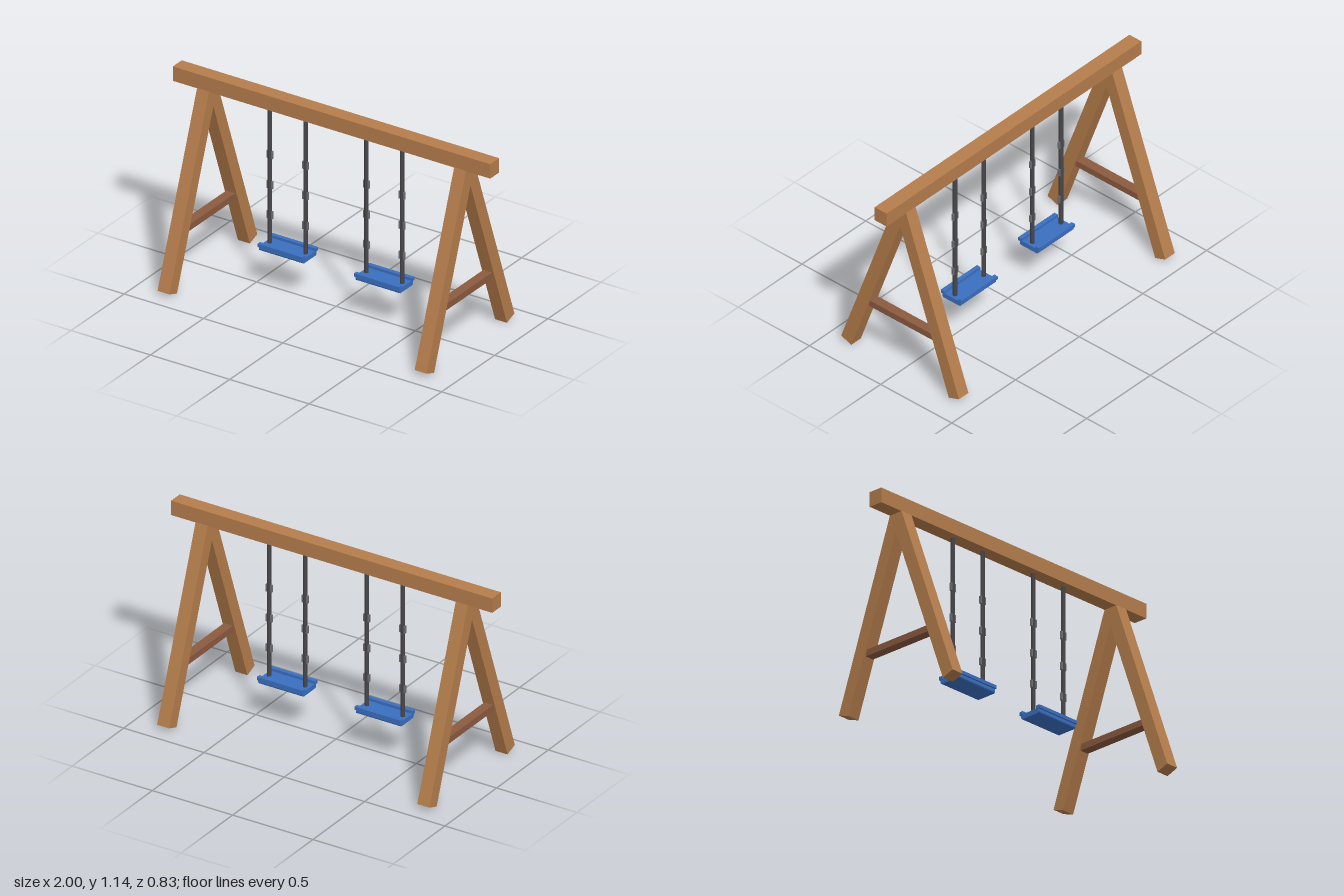
import * as THREE from 'three';

const paint = (name, color) => {
  const m = new THREE.MeshStandardMaterial({ color });
  m.name = name;
  return m;
};

export function createModel() {
  const wood = paint('wood', 0xb57d4c);
  const darkWood = paint('darkWood', 0x8b5a3f);
  const steel = paint('steel', 0x48484c);
  const linkSteel = paint('linkSteel', 0x707074);
  const blue = paint('blue', 0x3a6fc0);

  const model = new THREE.Group();
  model.name = 'swingSet';

  const add = (parent, name, geometry, material, x, y, z) => {
    const mesh = new THREE.Mesh(geometry, material);
    mesh.name = name;
    mesh.position.set(x, y, z);
    parent.add(mesh);
    return mesh;
  };
  const box = (w, h, d) => new THREE.BoxGeometry(w, h, d);

  // Top beam
  add(model, 'topBeam', box(2, 0.085, 0.084), wood, 0, 1.1025, 0);

  // A-frames: two leaning legs and a cross brace at each end
  const foot = { y: 0.013, z: 0.378 };
  const apexY = 1.068;
  const legLength = Math.hypot(foot.z, apexY - foot.y);
  const lean = Math.atan2(foot.z, apexY - foot.y);
  const legGeometry = box(0.075, legLength, 0.075);
  const braceGeometry = box(0.055, 0.037, 0.454);
  for (const side of [-1, 1]) {
    const frame = new THREE.Group();
    frame.name = side > 0 ? 'leftFrame' : 'rightFrame';
    frame.position.x = side * 0.81;
    model.add(frame);
    for (const dir of [-1, 1]) {
      const leg = add(frame, dir > 0 ? 'frontLeg' : 'backLeg', legGeometry, wood,
        0, (foot.y + apexY) / 2, dir * foot.z / 2);
      leg.rotation.x = -dir * lean;
    }
    add(frame, 'crossBrace', braceGeometry, darkWood, 0, 0.329, 0);
  }

  // Seat board: a flat top with rounded lower edges, extruded along x
  const w = 0.064, h = 0.028, r = 0.012, length = 0.278;
  const profile = new THREE.Shape();
  profile.moveTo(-w, h);
  profile.lineTo(-w, r);
  profile.quadraticCurveTo(-w, 0, -w + r, 0);
  profile.lineTo(w - r, 0);
  profile.quadraticCurveTo(w, 0, w, r);
  profile.lineTo(w, h);
  profile.closePath();
  const boardGeometry = new THREE.ExtrudeGeometry(profile, {
    depth: length, bevelEnabled: false, curveSegments: 5,
  });
  boardGeometry.translate(0, 0, -length / 2);
  boardGeometry.rotateY(Math.PI / 2);

  const railGeometry = box(0.284, 0.019, 0.024);
  const chainGeometry = new THREE.CylinderGeometry(0.012, 0.012, 0.825, 8);
  const linkGeometry = box(0.037, 0.043, 0.013);

  // Two swings, each with a seat, edge rails and a pair of chains
  for (const side of [-1, 1]) {
    const swing = new THREE.Group();
    swing.name = side > 0 ? 'leftSwing' : 'rightSwing';
    swing.position.x = side * 0.304;
    model.add(swing);
    add(swing, 'seatBoard', boardGeometry, blue, 0, 0.229, 0);
    for (const dir of [-1, 1]) {
      add(swing, dir > 0 ? 'frontRail' : 'backRail', railGeometry, blue, 0, 0.2635, dir * 0.061);
      add(swing, 'chain', chainGeometry, steel, dir * 0.112, 0.6625, 0);
      for (const y of [0.422, 0.599, 0.777]) {
        add(swing, 'chainLink', linkGeometry, linkSteel, dir * 0.112, y, 0);
      }
    }
  }
  return model;
}
